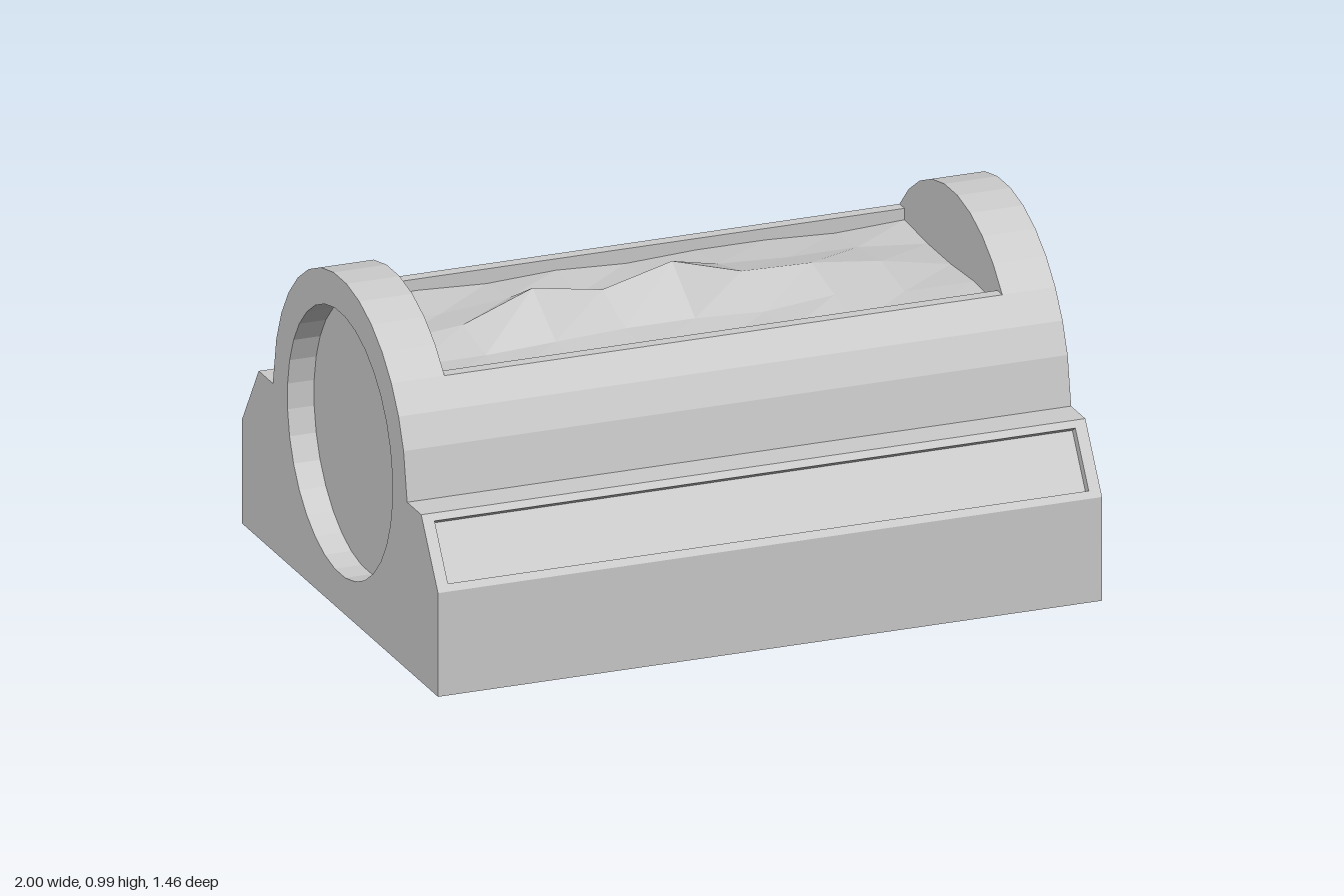
import * as THREE from 'three';

const material = new THREE.MeshStandardMaterial({ color: 0xcccccc, flatShading: true });

// Mesh from a list of four-cornered faces
function quadMesh(name, quads) {
  const pos = [];
  for (const [a, b, c, d] of quads) pos.push(...a, ...b, ...c, ...a, ...c, ...d);
  const g = new THREE.BufferGeometry();
  g.setAttribute('position', new THREE.Float32BufferAttribute(pos, 3));
  g.computeVertexNormals();
  const mesh = new THREE.Mesh(g, material);
  mesh.name = name;
  return mesh;
}

// Faces of a [z, y] profile swept along x; front-to-back order faces up
function sweep(profile, x0, x1) {
  const at = (x, [z, y]) => [x, y, z];
  return profile.slice(1).map((q, i) => {
    const p = profile[i];
    return [at(x0, p), at(x1, p), at(x1, q), at(x0, q)];
  });
}

// Flat [z, y] outline standing at x, facing +x or -x (dir)
function cap(name, outline, x, dir, hole) {
  const vec = (p) => p.map(([z, y]) => new THREE.Vector2(-z, y));
  const shape = new THREE.Shape(vec(outline));
  if (hole) shape.holes.push(new THREE.Path(vec(hole)));
  const g = new THREE.ShapeGeometry(shape);
  g.rotateY(dir * Math.PI / 2).translate(x, 0, 0);
  const mesh = new THREE.Mesh(g, material);
  mesh.name = name;
  return mesh;
}

const STEP = Math.PI / 16;
const mirror = (p) => p.map(([z, y]) => [-z, y]).reverse();
const ringPoint = (r, a) => [r * Math.cos(a), 0.5 + r * Math.sin(a)];

export function createModel() {
  const model = new THREE.Group();
  const W = 1, OPEN = 0.84, RECESS = 0.92, PANEL = 0.965;

  // Barrel outline: front flank, then the crown above the opening
  const arc = [[0.5, 0.5]];
  for (let i = 1; i <= 7; i++) arc.push(ringPoint(0.495, (i + 0.5) * STEP));
  const flank = arc.slice(0, 4);
  const upper = arc.slice(3);
  const crown = [...upper, ...mirror(upper)];
  const fullArc = [...arc, ...mirror(arc)];
  const rimY = flank[3][1], inner = 0.345, floorY = 0.74;

  // Base side with a sunken panel, made once and turned for the back
  const low = [0.73, 0.31], high = [0.605, 0.5];
  const onSlope = (t, depth) => [
    low[0] + (high[0] - low[0]) * t - 0.835 * depth,
    low[1] + (high[1] - low[1]) * t - 0.55 * depth,
  ];
  const notch = [onSlope(0.1, 0), onSlope(0.1, 0.027), onSlope(0.9, 0.027), onSlope(0.9, 0)];
  const notchEnd = (x) => notch.map(([z, y]) => [x, y, z]);
  const border = [notch[0], notch[3]];
  for (const turn of [0, Math.PI]) {
    const side = new THREE.Group();
    side.name = turn ? 'backSide' : 'frontSide';
    side.add(
      quadMesh('baseWall', [
        ...sweep([[0.73, 0], low, notch[0]], -W, W),
        ...sweep([notch[3], high, arc[0]], -W, W),
        ...sweep(border, -W, -PANEL),
        ...sweep(border, PANEL, W),
      ]),
      quadMesh('sunkenPanel', [
        ...sweep(notch, -PANEL, PANEL),
        notchEnd(PANEL).reverse(),
        notchEnd(-PANEL),
      ]),
      quadMesh('barrelFlank', sweep(flank, -W, W)),
      quadMesh('openingRim', sweep([flank[3], [inner, rimY], [inner, floorY]], -OPEN, OPEN)),
    );
    side.rotation.y = turn;
    model.add(side);
  }
  model.add(quadMesh('underside', sweep([[-0.73, 0], [0.73, 0]], -W, W)));

  // Barrel ends with round recesses
  const circle = [];
  for (let i = 0; i < 32; i++) circle.push(ringPoint(0.392, (i + 0.5) * STEP));
  const baseEdge = [[0.73, 0], low, high];
  const outline = [...baseEdge, ...fullArc, ...mirror(baseEdge)];
  const well = [[inner, floorY], [inner, rimY], ...crown, [-inner, rimY], [-inner, floorY]];
  const inward = [...circle, circle[0]].reverse();
  for (const s of [-1, 1]) {
    const end = new THREE.Group();
    end.name = s > 0 ? 'leftEnd' : 'rightEnd';
    const span = (a, b) => (s > 0 ? [a, b] : [-b, -a]);
    end.add(
      cap('endWall', outline, s * W, s, circle),
      cap('recessDisc', circle, s * RECESS, s),
      quadMesh('recessWall', sweep(inward, ...span(RECESS, W))),
      quadMesh('endHoop', sweep(crown, ...span(OPEN, W))),
      cap('hoopInnerWall', well, s * OPEN, -s),
    );
    model.add(end);
  }

  // Faceted mound inside the opening, rows from back to front
  const heights = [
    [0.77, 0.78, 0.77, 0.78, 0.77, 0.78, 0.78, 0.77, 0.78],
    [0.78, 0.77, 0.79, 0.77, 0.79, 0.80, 0.79, 0.79, 0.77],
    [0.78, 0.80, 0.88, 0.845, 0.90, 0.84, 0.835, 0.81, 0.77],
    [0.77, 0.77, 0.78, 0.79, 0.79, 0.78, 0.80, 0.78, 0.78],
    [0.78, 0.77, 0.77, 0.78, 0.77, 0.78, 0.77, 0.78, 0.77],
  ].flat();
  const ground = new THREE.PlaneGeometry(2 * OPEN, 2 * inner, 8, 4).rotateX(-Math.PI / 2);
  heights.forEach((h, i) => ground.attributes.position.setY(i, h));
  ground.computeVertexNormals();
  const mound = new THREE.Mesh(ground, material);
  mound.name = 'mound';
  model.add(mound);

  return model;
}
